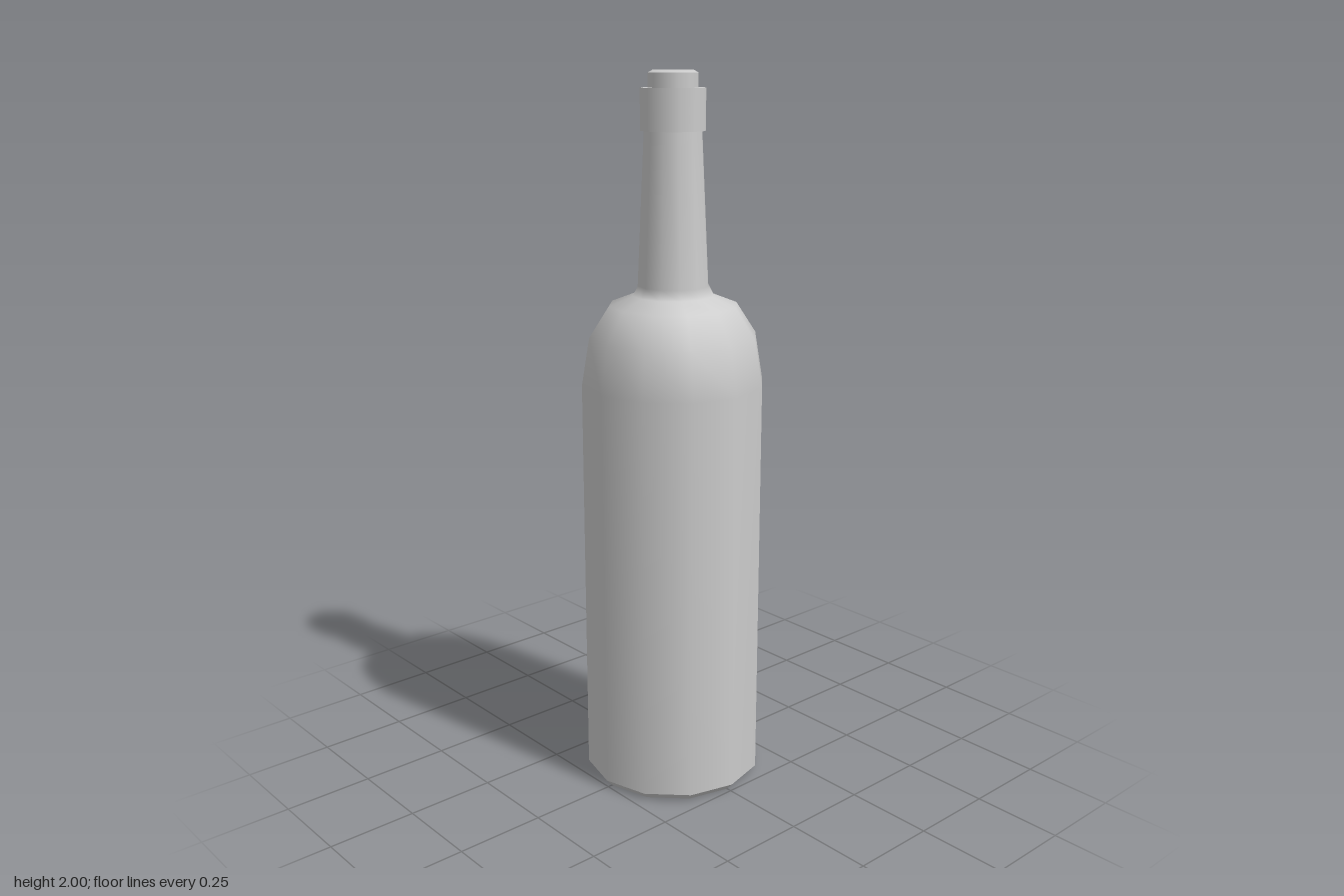
import * as THREE from 'three';

const SIDES = 12;
const glass = new THREE.MeshStandardMaterial({ color: 0xcccccc });

// One smooth turned section; separate sections leave sharp edges between them.
function turned(name, profile) {
  const points = profile.map(([r, y]) => new THREE.Vector2(r, y));
  const mesh = new THREE.Mesh(new THREE.LatheGeometry(points, SIDES), glass);
  mesh.name = name;
  return mesh;
}

export function createModel() {
  const bottle = new THREE.Group();
  bottle.name = 'bottle';

  // Base disc and chamfered foot
  bottle.add(turned('base', [[0, 0], [0.235, 0]]));
  bottle.add(turned('footChamfer', [[0.235, 0], [0.255, 0.022]]));

  // Straight body, rounded shoulder and tapering neck
  bottle.add(turned('bodyAndNeck', [
    [0.255, 0.022], [0.255, 1.165], [0.233, 1.297], [0.178, 1.382],
    [0.112, 1.408], [0.098, 1.435], [0.079, 1.845],
  ]));

  // Collar around the mouth
  const collar = new THREE.Group();
  collar.name = 'collar';
  collar.add(turned('collarUnderside', [[0.079, 1.845], [0.089, 1.845]]));
  collar.add(turned('collarWall', [[0.089, 1.845], [0.089, 1.955]]));
  collar.add(turned('collarRim', [[0.089, 1.955], [0.068, 1.955]]));
  bottle.add(collar);

  // Stopper with a slightly domed top
  const cork = new THREE.Group();
  cork.name = 'cork';
  cork.add(turned('corkWall', [[0.068, 1.955], [0.068, 1.993]]));
  cork.add(turned('corkTop', [[0.068, 1.993], [0.055, 2], [0, 2]]));
  bottle.add(cork);

  return bottle;
}
